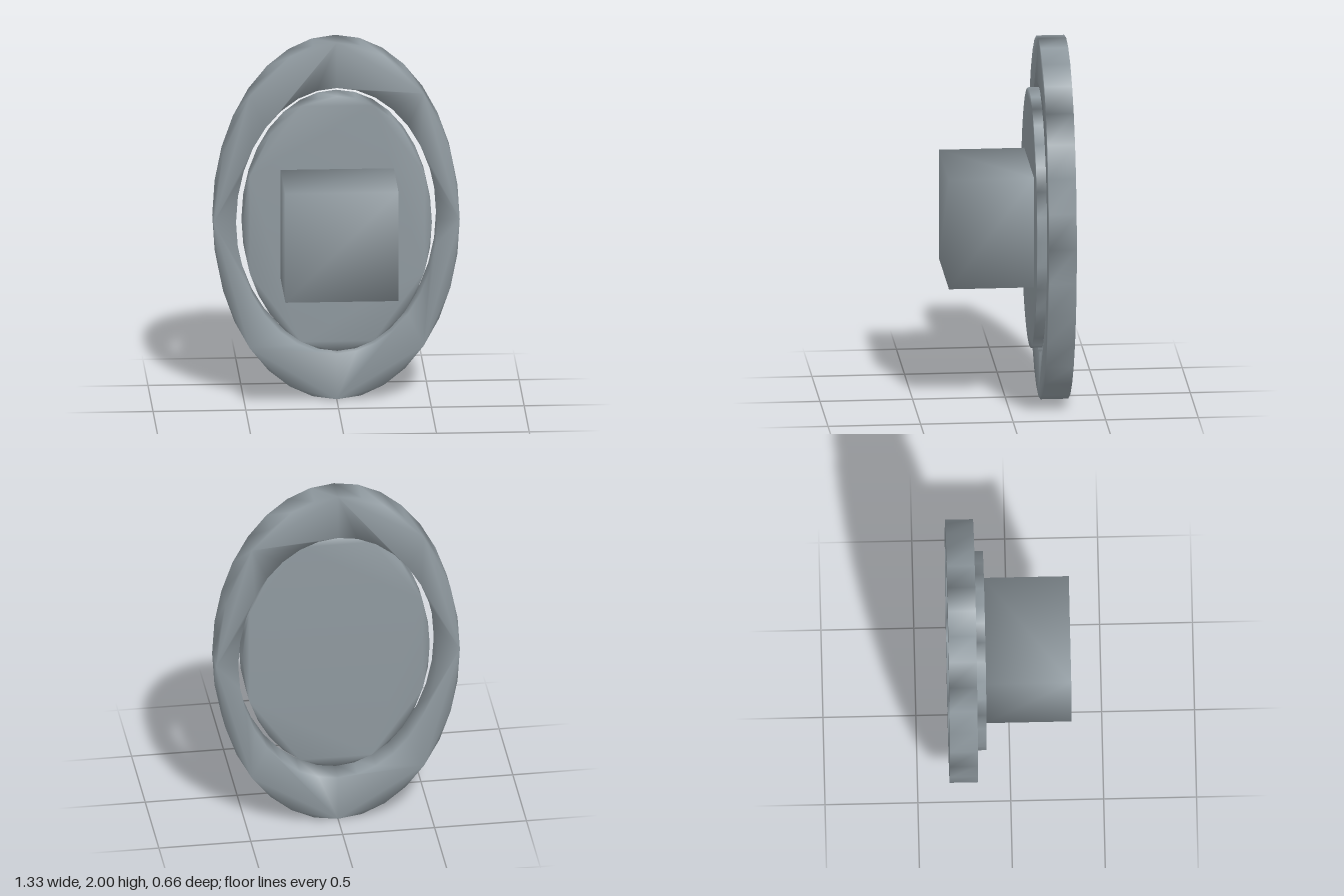
import * as THREE from 'three';
import { mergeVertices } from 'three/addons/utils/BufferGeometryUtils.js';

const SIDES = 32;

// Points of a low-poly ellipse with a vertex at the top
function ellipse(rx, ry) {
  const pts = [];
  for (let i = 0; i < SIDES; i++) {
    const a = (i / SIDES) * Math.PI * 2;
    pts.push(new THREE.Vector2(rx * Math.cos(a), ry * Math.sin(a)));
  }
  return pts;
}

// Share the corners so that shading runs smoothly over every edge
function soften(geometry) {
  geometry.deleteAttribute('normal');
  geometry.deleteAttribute('uv');
  const merged = mergeVertices(geometry, 1e-4);
  merged.clearGroups();
  merged.computeVertexNormals();
  return merged;
}

// Plate from z = back to z = front
function plate(shape, back, front) {
  const g = new THREE.ExtrudeGeometry(shape, { depth: front - back, bevelEnabled: false });
  g.translate(0, 0, back);
  return soften(g);
}

export function createModel() {
  const group = new THREE.Group();
  const grey = new THREE.MeshStandardMaterial({ color: 0x8f999f });
  grey.name = 'blueGrey';

  const add = (name, geometry) => {
    const mesh = new THREE.Mesh(geometry, grey);
    mesh.name = name;
    mesh.position.y = 1;
    group.add(mesh);
  };

  // Oval ring at the back
  const ringShape = new THREE.Shape(ellipse(0.663, 1));
  ringShape.holes.push(new THREE.Path(ellipse(0.543, 0.745)));
  add('ring', plate(ringShape, -0.33, -0.18));

  // Oval disc sitting inside the ring, with a narrow gap around it
  add('disc', plate(new THREE.Shape(ellipse(0.51, 0.714)), -0.255, -0.13));

  // Square block on the front of the disc
  const block = new THREE.BoxGeometry(0.61, 0.61, 0.46);
  block.translate(0, 0, 0.1);
  add('block', soften(block));

  return group;
}
